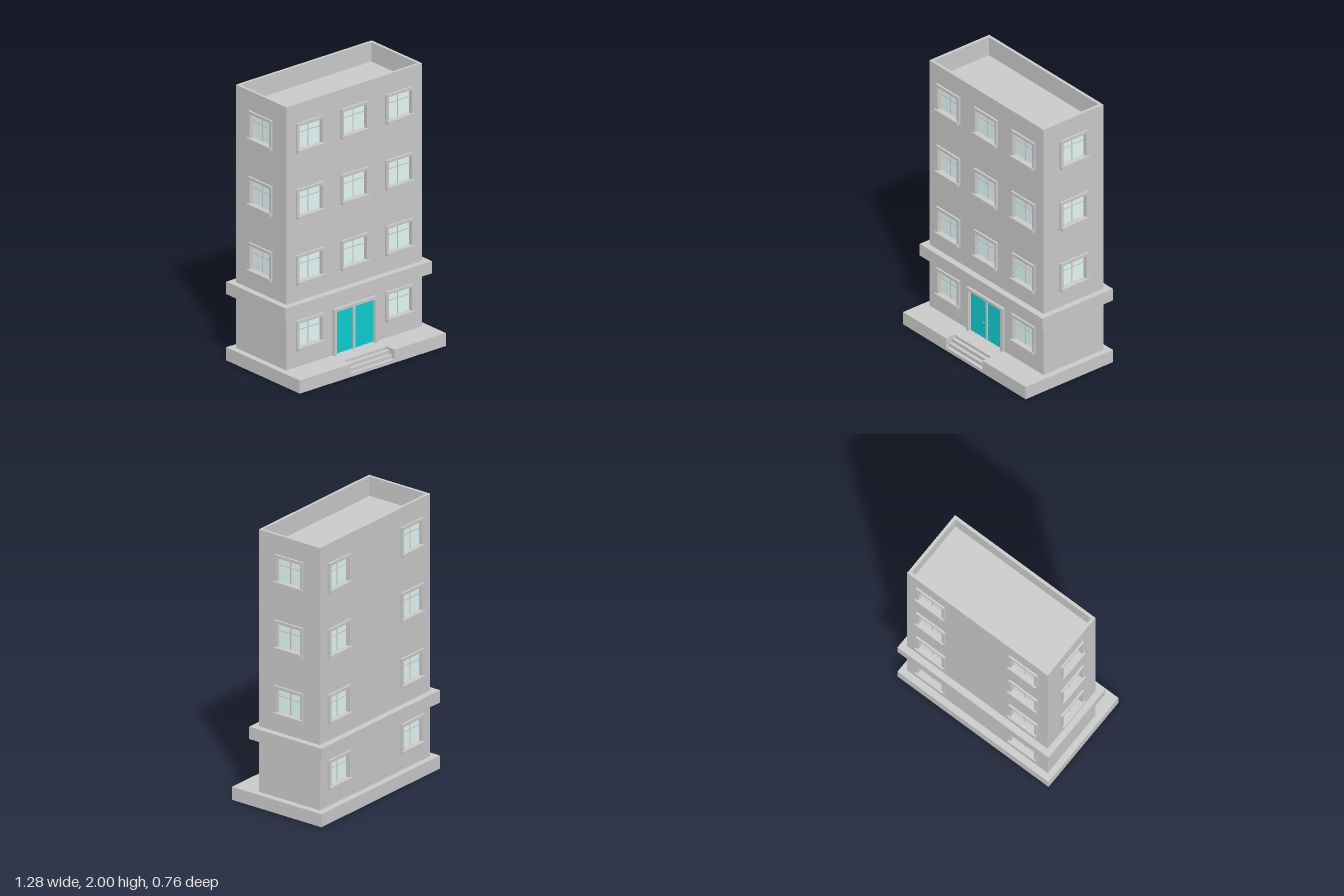
import * as THREE from 'three';

const grey = new THREE.MeshStandardMaterial({ color: 0xcccccc });
const glassMat = new THREE.MeshStandardMaterial({ color: 0xe6fbfa });
const doorMat = new THREE.MeshStandardMaterial({ color: 0x0ecfd2 });

// Overall dimensions
const HALF_W = 0.595, BACK = -0.333, FRONT = 0.188, MID = (BACK + FRONT) / 2;
const PLINTH = 0.095, TOP = 2, WALL = 0.022, FLOOR = 0.4765;

function add(parent, name, geometry, material = grey) {
  const mesh = new THREE.Mesh(geometry, material);
  mesh.name = name;
  parent.add(mesh);
  return mesh;
}

// Box given by its minimum and maximum corners
function box(parent, name, [x0, y0, z0], [x1, y1, z1], material) {
  const mesh = add(parent, name, new THREE.BoxGeometry(x1 - x0, y1 - y0, z1 - z0), material);
  mesh.position.set((x0 + x1) / 2, (y0 + y1) / 2, (z0 + z1) / 2);
  return mesh;
}

function outline(pts) {
  return pts.map(([x, y]) => new THREE.Vector2(x, y));
}
const rect = (x0, y0, x1, y1) => outline([[x0, y0], [x1, y0], [x1, y1], [x0, y1]]);

function plate(points, holes, depth) {
  const shape = new THREE.Shape(points);
  holes.forEach((h) => shape.holes.push(new THREE.Path(h)));
  return new THREE.ExtrudeGeometry(shape, { depth, bevelEnabled: false });
}

// Window with its bottom at y = 0 and the wall face at z = 0
const opening = (x, y) => rect(x - 0.1, y + 0.022, x + 0.1, y + 0.195);
function makeWindow(x, y) {
  const g = new THREE.Group();
  g.name = 'window';
  g.position.set(x, y, 0);
  add(g, 'windowFrame', plate(rect(-0.12, 0.01, 0.12, 0.215), [opening(0, 0)], 0.015));
  box(g, 'windowSill', [-0.12, 0, 0], [0.12, 0.023, 0.028]);
  box(g, 'glass', [-0.1, 0.022, -0.021], [0.1, 0.195, -0.016], glassMat);
  box(g, 'verticalGlazingBar', [-0.003, 0.022, -0.016], [0.003, 0.195, -0.012]);
  box(g, 'horizontalGlazingBar', [-0.1, 0.135, -0.016], [0.1, 0.141, -0.012]);
  return g;
}

// Wall with openings; outer face at local z = 0, facing +z
function makeWall(name, halfWidth, windows, hasDoor = false) {
  const g = new THREE.Group();
  g.name = name;
  const holes = windows.map(([x, y]) => opening(x, y));
  if (hasDoor) holes.push(rect(-0.168, PLINTH + 0.001, 0.168, 0.41));
  const wall = add(g, 'wall', plate(rect(-halfWidth, PLINTH, halfWidth, TOP), holes, WALL));
  wall.position.z = -WALL;
  windows.forEach(([x, y]) => g.add(makeWindow(x, y)));
  return g;
}

function makeDoor() {
  const g = new THREE.Group();
  g.name = 'entrance';
  // Surround is open at the bottom
  const surround = outline([[-0.19, PLINTH], [-0.168, PLINTH], [-0.168, 0.41], [0.168, 0.41],
    [0.168, PLINTH], [0.19, PLINTH], [0.19, 0.43], [-0.19, 0.43]]);
  add(g, 'doorSurround', plate(surround, [], 0.02));
  box(g, 'centrePost', [-0.008, PLINTH, -0.02], [0.008, 0.41, 0.002]);
  for (const s of [-1, 1]) {
    const leaf = box(g, 'doorLeaf', [-0.08, PLINTH, -0.02], [0.08, 0.41, -0.006], doorMat);
    leaf.position.x = s * 0.088;
    const knob = add(g, 'doorKnob', new THREE.SphereGeometry(0.007, 16, 10), doorMat);
    knob.position.set(s * 0.026, 0.22, 0.004);
    const stem = add(g, 'knobStem', new THREE.CylinderGeometry(0.003, 0.003, 0.012, 10), doorMat);
    stem.rotation.x = Math.PI / 2;
    stem.position.set(s * 0.026, 0.22, -0.002);
  }
  return g;
}

export function createModel() {
  const model = new THREE.Group();
  model.name = 'apartmentBuilding';

  // Plinth with a notch for the steps (drawn in plan, y of the shape is -z)
  const plan = outline([[-0.64, -0.38], [-0.19, -0.38], [-0.19, -0.305], [0.19, -0.305],
    [0.19, -0.38], [0.64, -0.38], [0.64, 0.38], [-0.64, 0.38]]);
  add(model, 'plinth', plate(plan, [], PLINTH)).rotation.x = -Math.PI / 2;
  for (let i = 0; i < 3; i++) {
    box(model, 'step', [-0.19, 0, 0.305], [0.19, 0.025 * (i + 1), 0.38 - i * 0.025]);
  }

  // Window positions on each side
  const levels = [0, 1, 2, 3].map((i) => 0.215 + i * FLOOR);
  const grid = (xs, ys) => ys.flatMap((y) => xs.map((x) => [x, y]));
  const upper = levels.slice(1);

  const front = makeWall('frontWall', HALF_W,
    [...grid([-0.392, 0.392], levels), ...grid([0], upper)]);
  // The front wall is remade with the door opening included
  const frontWindows = [...grid([-0.392, 0.392], levels), ...grid([0], upper)];
  front.clear();
  front.add(...makeWall('frontWall', HALF_W, frontWindows, true).children.slice());
  front.add(makeDoor());
  front.position.z = FRONT;

  const back = makeWall('backWall', HALF_W, grid([-0.392, 0.392], levels));
  back.rotation.y = Math.PI;
  back.position.z = BACK;
  model.add(front, back);

  for (const s of [-1, 1]) {
    const side = makeWall(s > 0 ? 'leftWall' : 'rightWall', (FRONT - BACK) / 2 - WALL, grid([0], upper));
    side.rotation.y = s * Math.PI / 2;
    side.position.set(s * HALF_W, 0, MID);
    model.add(side);
  }

  // Roof deck sunk behind the parapet
  box(model, 'roofDeck', [-HALF_W + WALL, 1.835, BACK + WALL], [HALF_W - WALL, 1.86, FRONT - WALL]);

  // Ledge around the building above the ground floor
  const ledge = add(model, 'ledge', plate(rect(-0.64, -0.235, 0.64, 0.38),
    [rect(-HALF_W + 0.01, -FRONT + 0.01, HALF_W - 0.01, -BACK - 0.01)], 0.09));
  ledge.rotation.x = -Math.PI / 2;
  ledge.position.y = 0.48;

  return model;
}
